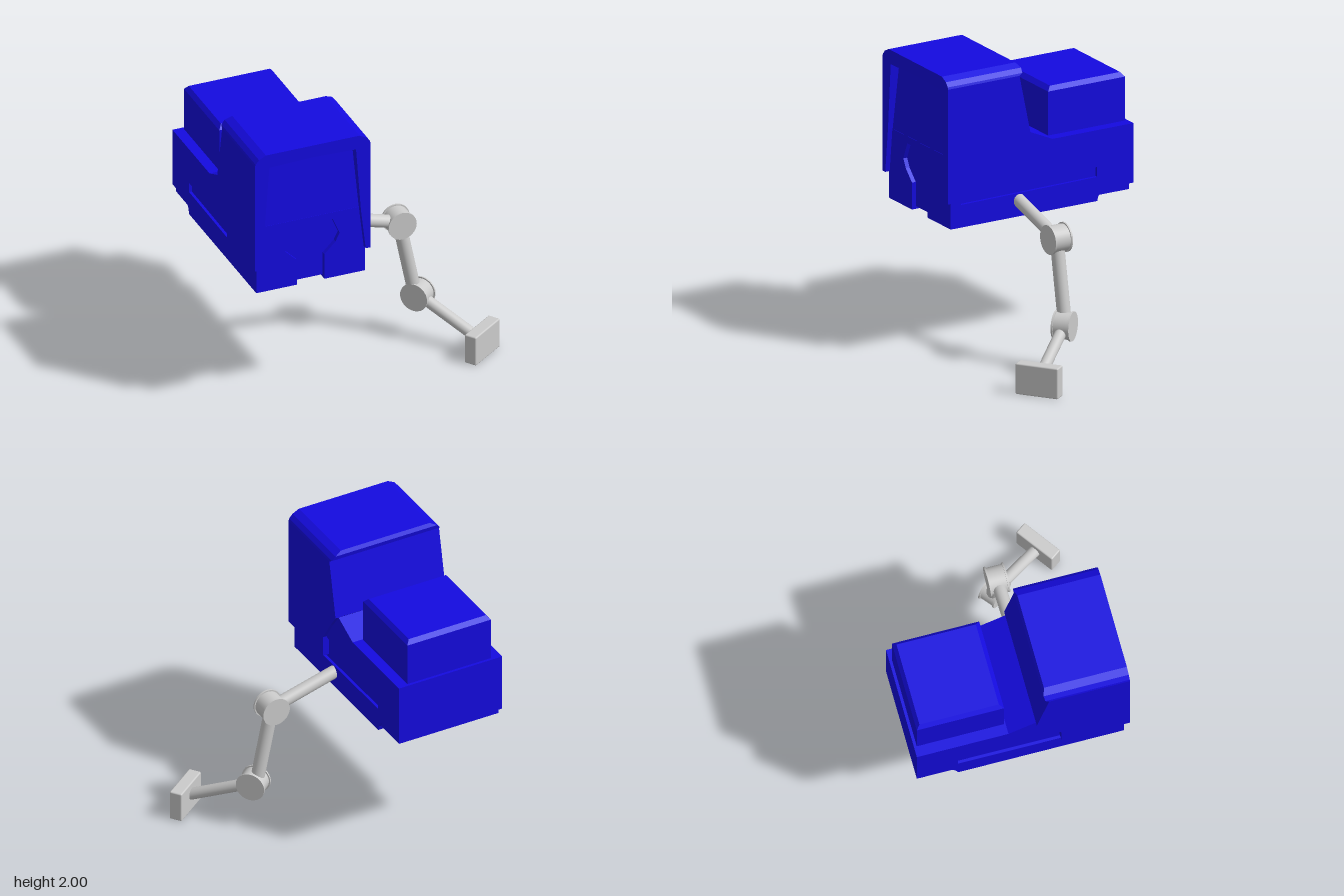
import * as THREE from 'three';
import { RoundedBoxGeometry } from 'three/addons/geometries/RoundedBoxGeometry.js';

const CX = -0.52; // centre line of the vehicle body
const blue = new THREE.MeshStandardMaterial({ color: 0x140ae0, flatShading: true });
const grey = new THREE.MeshStandardMaterial({ color: 0xcccccc });

const makeShape = (points) => new THREE.Shape(points.map(([x, y]) => new THREE.Vector2(x, y)));
const mirrored = (half) => [...half, ...half.map(([x, y]) => [-x, y]).reverse()];

function add(parent, name, geometry, material) {
  const mesh = new THREE.Mesh(geometry, material);
  mesh.name = name;
  parent.add(mesh);
  return mesh;
}

// Stack of rectangles: [height, half width, front z, rear z]
function stackGeometry(sections) {
  const rings = sections.map(([y, w, f, r]) => [[-w, y, f], [w, y, f], [w, y, r], [-w, y, r]]);
  const out = [];
  const quad = (a, b, c, d) => out.push(...a, ...b, ...c, ...a, ...c, ...d);
  for (let i = 0; i + 1 < rings.length; i++) {
    for (let k = 0; k < 4; k++) {
      const n = (k + 1) % 4;
      quad(rings[i][k], rings[i][n], rings[i + 1][n], rings[i + 1][k]);
    }
  }
  const bottom = rings[0], top = rings[rings.length - 1];
  quad(bottom[3], bottom[2], bottom[1], bottom[0]);
  quad(top[0], top[1], top[2], top[3]);
  const geometry = new THREE.BufferGeometry();
  geometry.setAttribute('position', new THREE.Float32BufferAttribute(out, 3));
  geometry.computeVertexNormals();
  return geometry;
}

const extrude = (shape, depth) => new THREE.ExtrudeGeometry(shape, { depth, bevelEnabled: false });

// Side profile in (z, y), extruded from x = x0 to x = x1
const sideExtrude = (shape, x0, x1) => extrude(shape, x1 - x0).rotateY(-Math.PI / 2).translate(x1, 0, 0);

// Cylinder between two points
function rod(parent, name, from, to, radius) {
  const a = new THREE.Vector3(...from), b = new THREE.Vector3(...to);
  const direction = b.clone().sub(a);
  const mesh = add(parent, name, new THREE.CylinderGeometry(radius, radius, direction.length(), 32), grey);
  mesh.position.copy(a).add(b).multiplyScalar(0.5);
  mesh.quaternion.setFromUnitVectors(new THREE.Vector3(0, 1, 0), direction.normalize());
  return mesh;
}

// Drum with a slightly wider disc on each end
function joint(parent, name, centre, axis, length) {
  const c = new THREE.Vector3(...centre), n = new THREE.Vector3(...axis).normalize();
  const at = (t) => c.clone().addScaledVector(n, t).toArray();
  const h = length / 2;
  rod(parent, name + 'Drum', at(-h), at(h), 0.093);
  for (const s of [-1, 1]) rod(parent, name + 'Cap', at(s * (h - 0.012)), at(s * h), 0.102);
}

function buildBody(body) {
  // Hull core with thin side skins that leave a sunken side panel
  const profile = [[0.67, 0.95], [0.67, 1.3], [0.1, 1.52], [-0.1, 1.43], [-0.735, 1.43],
    [-0.735, 1.01], [-0.49, 1.01], [-0.45, 0.95]];
  add(body, 'hull', sideExtrude(makeShape(profile), -0.375, 0.375), blue);
  for (const s of [-1, 1]) {
    const skin = makeShape(profile);
    skin.holes.push(makeShape([[0.62, 1.09], [0.62, 1.2], [0.26, 1.27], [-0.08, 1.17], [-0.45, 1.17], [-0.45, 1.1]]));
    const [x0, x1] = s > 0 ? [0.375, 0.395] : [-0.395, -0.375];
    add(body, 'sideSkin', sideExtrude(skin, x0, x1), blue);

    // Rails under the hull
    const rail = sideExtrude(makeShape([[0.7, 0.93], [0.7, 1.0], [-0.47, 1.0], [-0.45, 0.93]]), 0, 0.295);
    add(body, 'underRail', rail.translate(s > 0 ? 0.1 : -0.395, 0, 0), blue);
  }

  // Front plate with a keyhole cut-out open at the bottom
  const plate = makeShape(mirrored([[0.395, 0.93], [0.395, 1.43], [0, 1.43], [0, 1.38],
    [0.16, 1.38], [0.21, 1.26], [0.18, 1.2], [0.1, 1.12], [0.1, 0.93]].slice(0, 2)));
  const keyhole = mirrored([[0.1, 0.93], [0.1, 1.12], [0.18, 1.2], [0.21, 1.26], [0.16, 1.38]]);
  const notched = makeShape([[-0.395, 0.93], [-0.395, 1.43], [0.395, 1.43], [0.395, 0.93], ...keyhole]);
  plate.curves = notched.curves;
  add(body, 'frontPlate', extrude(plate, 0.05).translate(0, 0, 0.65), blue);

  // Rear underside frame around a shallow pocket
  const frame = makeShape([[-0.38, -0.47], [0.38, -0.47], [0.38, -0.71], [-0.38, -0.71]]);
  frame.holes.push(makeShape([[-0.33, -0.5], [0.33, -0.5], [0.33, -0.62], [-0.33, -0.62]]));
  add(body, 'rearUnderFrame', extrude(frame, 0.05).rotateX(Math.PI / 2).translate(0, 1.015, 0), blue);

  // Cargo box with a chamfered lid
  add(body, 'cargoBox', stackGeometry([
    [1.42, 0.32, -0.11, -0.715], [1.74, 0.32, -0.11, -0.715], [1.77, 0.295, -0.14, -0.69],
  ]), blue);
}

function buildCab(cab) {
  // Cabin volume, with sloped windscreen, leaning rear wall and roof lip
  add(cab, 'cabin', stackGeometry([
    [1.12, 0.42, 0.67, 0.26], [1.27, 0.42, 0.67, 0.26], [1.42, 0.42, 0.67, 0.165],
    [1.43, 0.42, 0.698, 0.155], [1.52, 0.42, 0.692, 0.09], [1.93, 0.42, 0.665, 0.175],
    [1.945, 0.415, 0.665, 0.15], [1.975, 0.39, 0.665, 0.145], [2.0, 0.34, 0.665, 0.16],
  ]), blue);

  // Surround of the windscreen with pillars running down both sides
  const outer = [[0.42, 1.12], [0.42, 1.93], [0.415, 1.945], [0.39, 1.975], [0.34, 2.0]];
  const inner = [[-0.385, 1.12], [-0.35, 1.43], [-0.315, 1.9], [0, 1.91], [0.315, 1.9], [0.35, 1.43], [0.385, 1.12]];
  add(cab, 'windscreenSurround', extrude(makeShape([...mirrored(outer), ...inner]), 0.085).translate(0, 0, 0.65), blue);
}

function buildArm(arm) {
  const elbow = [0.35, 0.91, 0.16], wrist = [0.48, 0.335, 0.18];
  rod(arm, 'shoulderRod', [-0.16, 1.05, 0.16], elbow, 0.045);
  joint(arm, 'elbow', elbow, [0, 0, 1], 0.135);
  rod(arm, 'upperArm', elbow, [0.465, 0.335, 0.165], 0.047);
  joint(arm, 'wrist', wrist, [0.77, 0, -0.64], 0.125);
  rod(arm, 'forearm', wrist, [0.76, 0.125, 0.54], 0.04);

  // Foot pad
  const foot = add(arm, 'foot', new RoundedBoxGeometry(0.31, 0.217, 0.09, 2, 0.01), grey);
  foot.position.set(0.785, 0.1085, 0.565);
  foot.rotation.y = Math.atan2(0.58, 0.81);
}

export function createModel() {
  const model = new THREE.Group();
  model.name = 'vehicleWithArm';
  const parts = { body: buildBody, cab: buildCab, arm: buildArm };
  for (const [name, build] of Object.entries(parts)) {
    const group = new THREE.Group();
    group.name = name;
    if (name !== 'arm') group.position.x = CX;
    build(group);
    model.add(group);
  }
  return model;
}
